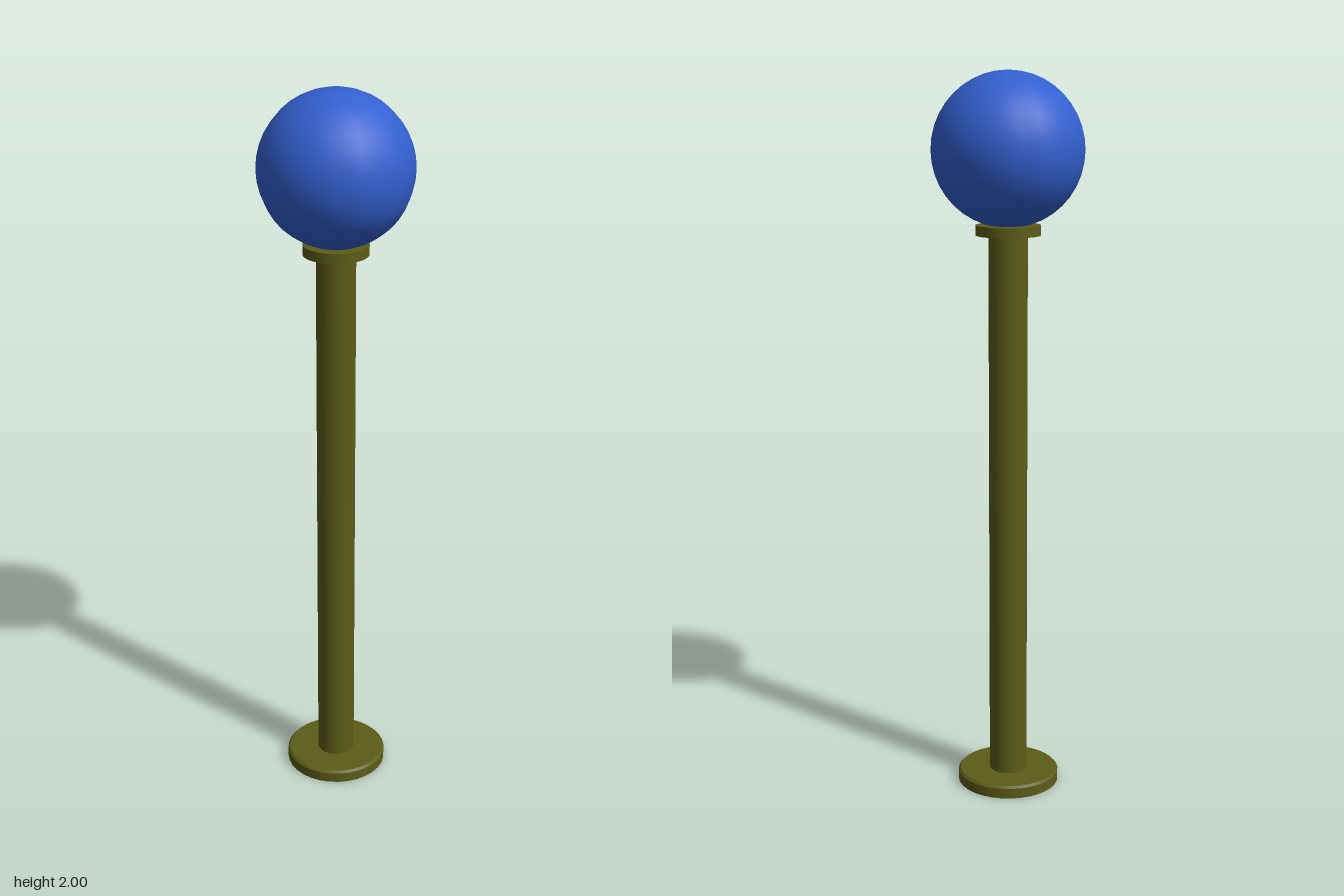
import * as THREE from 'three';
import { toCreasedNormals } from 'three/addons/utils/BufferGeometryUtils.js';

const SIDES = 32;

export function createModel() {
  const model = new THREE.Group();
  model.name = 'globeLampPost';
  const metal = new THREE.MeshStandardMaterial({ color: 0x5c5c18 });
  const blue = new THREE.MeshStandardMaterial({ color: 0x3360d0 });

  const add = (name, geometry, material, y) => {
    const mesh = new THREE.Mesh(geometry, material);
    mesh.name = name;
    mesh.position.y = y;
    model.add(mesh);
  };

  // Disc with a small bevel on its upper rim, standing on y = 0
  const disc = (radius, height, bevel) => {
    const profile = [
      [0, 0], [radius, 0], [radius, height - bevel], [radius - bevel, height], [0, height],
    ].map(([x, y]) => new THREE.Vector2(x, y));
    return toCreasedNormals(new THREE.LatheGeometry(profile, SIDES), 0.5);
  };

  // Foot plate, post and the collar under the globe
  add('base', disc(0.143, 0.035, 0.006), metal, 0);
  add('post', new THREE.CylinderGeometry(0.053, 0.053, 1.56, SIDES), metal, 0.8);
  add('collar', new THREE.CylinderGeometry(0.088, 0.088, 0.027, SIDES), metal, 1.582);

  // Globe
  add('globe', new THREE.SphereGeometry(0.206, 20, 20), blue, 1.794);

  return model;
}
